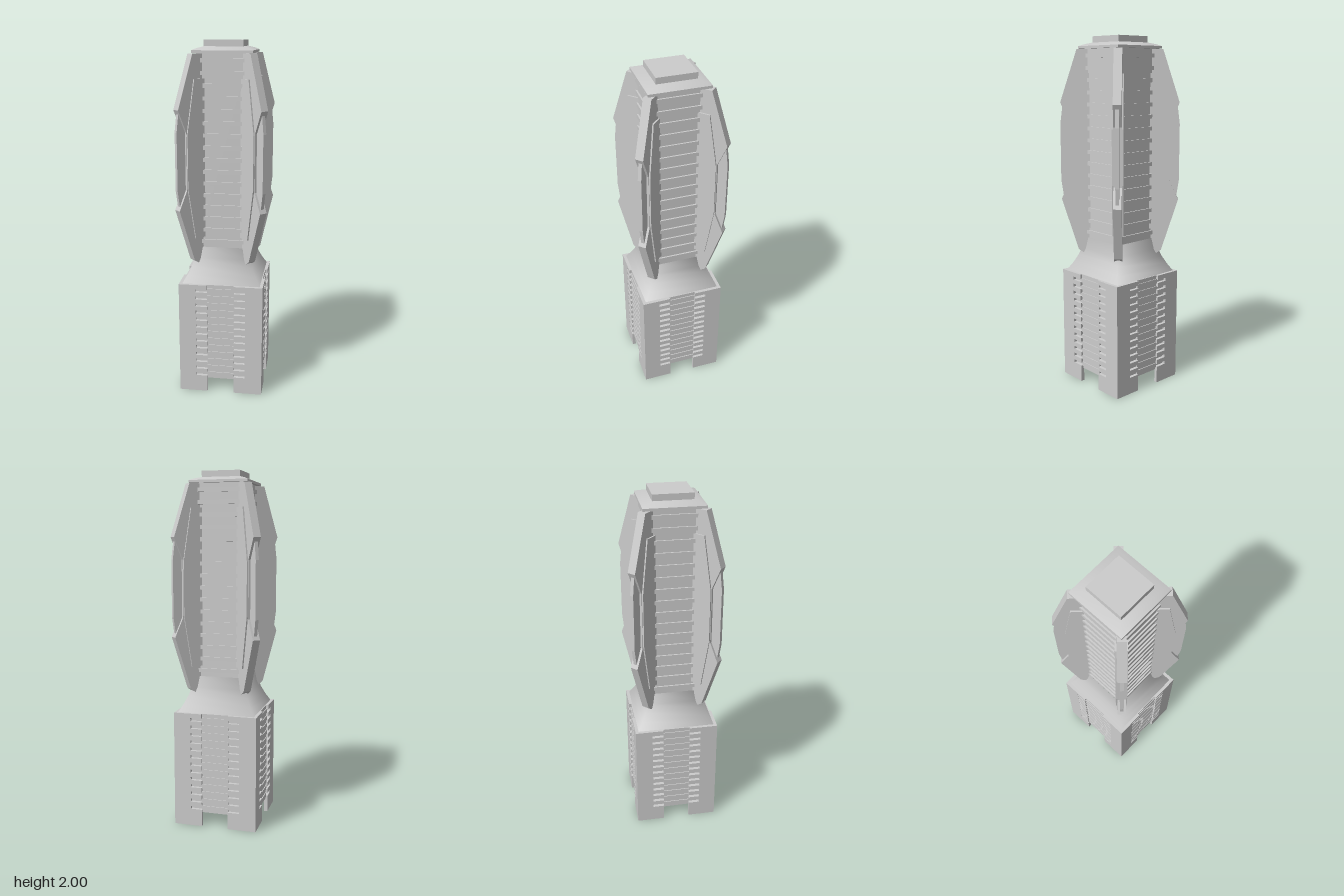
import * as THREE from 'three';

export function createModel() {
  const model = new THREE.Group();
  model.name = 'tower';
  const tower = new THREE.Group();
  tower.name = 'towerBody';
  tower.rotation.y = THREE.MathUtils.degToRad(35.1);
  model.add(tower);

  const grey = new THREE.MeshStandardMaterial({ color: 0xcccccc, side: THREE.DoubleSide });
  grey.name = 'paleGrey';

  const add = (parent, name, geometry, x = 0, y = 0, z = 0) => {
    const mesh = new THREE.Mesh(geometry, grey);
    mesh.name = name;
    mesh.position.set(x, y, z);
    parent.add(mesh);
    return mesh;
  };
  const box = (w, h, d) => new THREE.BoxGeometry(w, h, d);
  const plate = (points, depth) => {
    const shape = new THREE.Shape(points.map(([x, y]) => new THREE.Vector2(x, y)));
    return new THREE.ExtrudeGeometry(shape, { depth, bevelEnabled: false });
  };
  // four-sided loft, radius measured to the corners
  const squareLoft = (points) => new THREE.LatheGeometry(
    points.map(([r, y]) => new THREE.Vector2(r, y)), 4, Math.PI / 4);

  const half = 0.239, baseTop = 0.66, mid = 0.077, slotEnd = 0.142, door = 0.08;
  const rows = Array.from({ length: 13 }, (_, i) => 0.107 + 0.0432 * i);

  // side panel of a base wall, notched by the vent slots
  const panelPoints = (end) => {
    const points = [[end, 0], [end, baseTop], [mid, baseTop]];
    for (const y of [...rows].reverse()) {
      points.push([mid, y + 0.009], [slotEnd, y + 0.009], [slotEnd, y - 0.009], [mid, y - 0.009]);
    }
    points.push([mid, 0]);
    return points;
  };

  for (let i = 0; i < 4; i++) {
    const side = new THREE.Group();
    side.name = 'side' + (i + 1);
    side.rotation.y = i * Math.PI / 2;
    tower.add(side);

    // hollow base wall with a recessed middle and a doorway
    add(side, 'wallPanelA', plate(panelPoints(half), 0.02), 0, 0, half - 0.02);
    const other = panelPoints(half - 0.02).map(([x, y]) => [-x, y]);
    add(side, 'wallPanelB', plate(other, 0.02), 0, 0, half - 0.02);
    add(side, 'wallMiddle', box(mid * 2, baseTop - door, 0.008), 0, (baseTop + door) / 2, half - 0.017);
    for (const y of rows) {
      add(side, 'ventBar', box(mid * 2, 0.026, 0.018), 0, y, half - 0.017);
      add(side, 'ventBack', box(slotEnd * 2, 0.018, 0.004), 0, y, half - 0.021);
    }

    // ribs across the shaft
    for (let k = 0; k < 16; k++) {
      add(side, 'shaftRib', box(0.29, 0.022, 0.012), 0, 0.895 + k * 0.0667, 0.145);
    }

    // corner fin in three layers
    const fin = new THREE.Group();
    fin.name = 'cornerFin';
    fin.rotation.y = Math.PI / 4;
    side.add(fin);
    add(fin, 'finBlade', plate([
      [0.15, 0.86], [0.212, 0.77], [0.24, 0.79], [0.335, 1.09], [0.285, 1.2],
      [0.285, 1.52], [0.335, 1.64], [0.24, 1.93], [0.15, 1.93],
    ], 0.046), 0, 0, -0.023);
    add(fin, 'finCheek', plate([
      [0.16, 0.92], [0.235, 0.92], [0.282, 1.21], [0.282, 1.51], [0.235, 1.8], [0.16, 1.8],
    ], 0.062), 0, 0, -0.031);
    add(fin, 'finInsert', plate([
      [0.27, 1.13], [0.325, 1.11], [0.338, 1.2], [0.338, 1.52], [0.325, 1.62], [0.27, 1.58],
    ], 0.02), 0, 0, -0.01);
  }

  // curved shoulder above the base
  add(tower, 'shoulder', squareLoft([
    [0.312, baseTop], [0.275, 0.705], [0.245, 0.75], [0.222, 0.795], [0.207, 0.86],
  ]));

  // shaft, roof and cap
  add(tower, 'shaft', box(0.284, 1.08, 0.284), 0, 1.395, 0);
  add(tower, 'roofRim', box(0.33, 0.014, 0.33), 0, 1.94, 0);
  add(tower, 'roofSlope', squareLoft([[0.233, 1.947], [0.2, 1.957], [0.15, 1.967]]));
  add(tower, 'cap', box(0.216, 0.04, 0.216), 0, 1.98, 0);

  return model;
}
